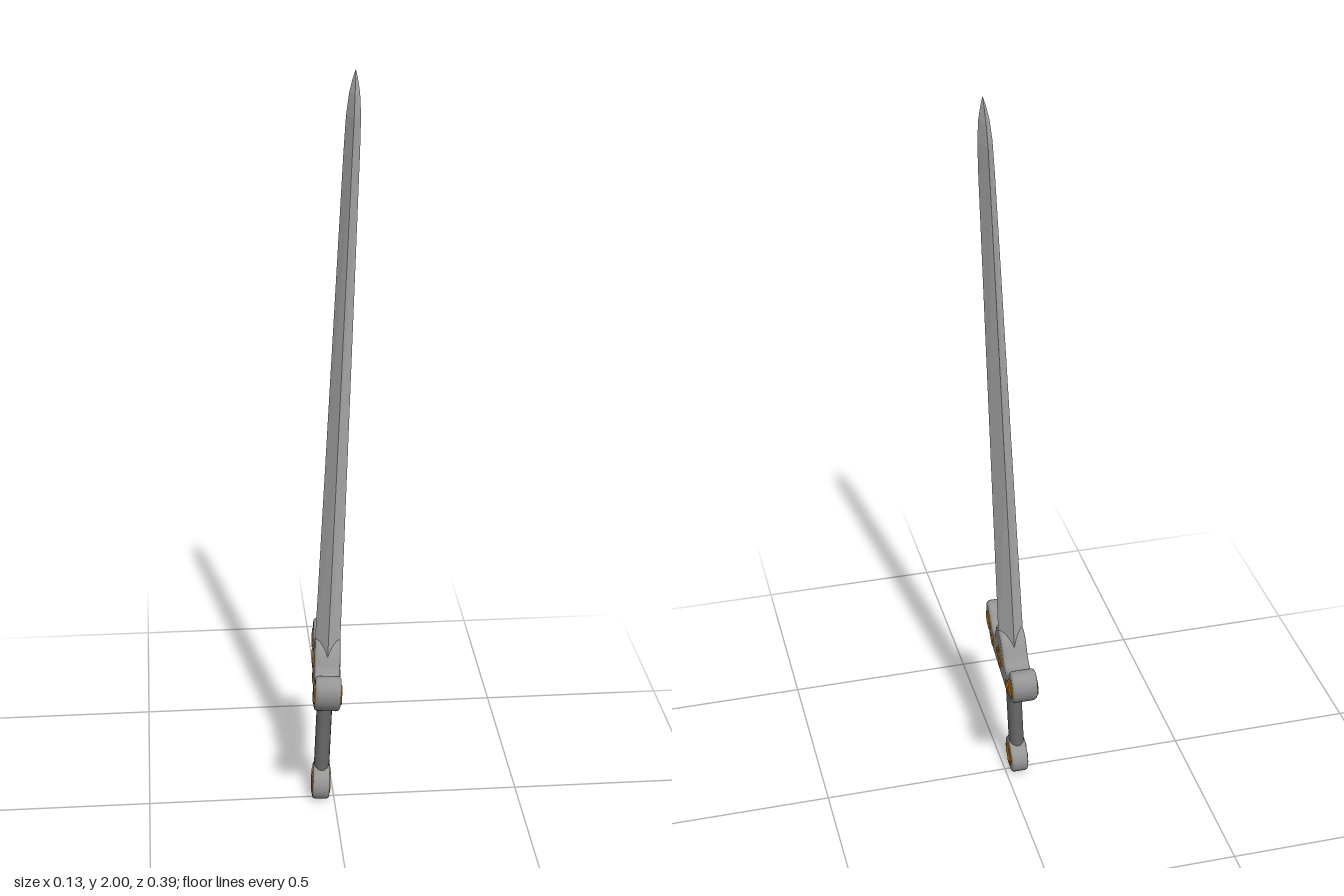
import * as THREE from 'three';
import { toCreasedNormals } from 'three/addons/utils/BufferGeometryUtils.js';

const material = (name, color) => {
  const m = new THREE.MeshStandardMaterial({ color });
  m.name = name;
  return m;
};

// Extrudes a (z, y) outline to a total thickness along x, centred on x = 0
function slab(shape, thickness, bevel) {
  const depth = thickness - 2 * bevel;
  const g = new THREE.ExtrudeGeometry(shape, {
    depth, curveSegments: 14, bevelEnabled: bevel > 0,
    bevelThickness: bevel, bevelSize: bevel, bevelOffset: -bevel, bevelSegments: 3,
  });
  g.translate(0, 0, -depth / 2);
  g.rotateY(-Math.PI / 2);
  return toCreasedNormals(g, 0.7);
}

// Diamond-section blade lofted through [y, half width, half thickness]
function bladeGeometry(sections) {
  const ring = ([y, w, t]) => [[t, y, 0], [0, y, -w], [-t, y, 0], [0, y, w]];
  const pos = [];
  for (let i = 0; i < sections.length - 1; i++) {
    const a = ring(sections[i]), b = ring(sections[i + 1]);
    for (let k = 0; k < 4; k++) {
      const n = (k + 1) % 4;
      pos.push(...a[k], ...a[n], ...b[n], ...a[k], ...b[n], ...b[k]);
    }
  }
  const g = new THREE.BufferGeometry();
  g.setAttribute('position', new THREE.Float32BufferAttribute(pos, 3));
  g.computeVertexNormals();
  return g;
}

// Mirrored crossguard outline with a central hump and upturned lobes
function guardShape() {
  const s = new THREE.Shape();
  s.moveTo(-0.09, 0.336);
  s.lineTo(0.09, 0.336);
  s.bezierCurveTo(0.15, 0.336, 0.196, 0.375, 0.196, 0.418);
  s.bezierCurveTo(0.196, 0.465, 0.152, 0.468, 0.135, 0.44);
  s.bezierCurveTo(0.118, 0.412, 0.085, 0.4, 0.064, 0.425);
  s.bezierCurveTo(0.048, 0.455, 0.04, 0.487, 0, 0.487);
  s.bezierCurveTo(-0.04, 0.487, -0.048, 0.455, -0.064, 0.425);
  s.bezierCurveTo(-0.085, 0.4, -0.118, 0.412, -0.135, 0.44);
  s.bezierCurveTo(-0.152, 0.468, -0.196, 0.465, -0.196, 0.418);
  s.bezierCurveTo(-0.196, 0.375, -0.15, 0.336, -0.09, 0.336);
  return s;
}

const discShape = (r) => new THREE.Shape().absarc(0, 0, r, 0, Math.PI * 2);

// Four flared arms
function crossShape(r, tip, waist) {
  const pts = [];
  for (let k = 0; k < 4; k++) {
    const a = k * Math.PI / 2;
    for (const [u, v] of [[r, -tip], [r, tip], [waist, waist]]) {
      pts.push(new THREE.Vector2(u * Math.cos(a) - v * Math.sin(a), u * Math.sin(a) + v * Math.cos(a)));
    }
  }
  return new THREE.Shape(pts);
}

export function createModel() {
  const steel = material('blade steel', 0xb4b4b4);
  const iron = material('guard iron', 0x969696);
  const leather = material('grip dark grey', 0x686868);
  const gold = material('gold inlay', 0xdc8c14);

  const sword = new THREE.Group();
  sword.name = 'sword';
  const add = (name, geometry, mat, x = 0, y = 0, z = 0) => {
    const mesh = new THREE.Mesh(geometry, mat);
    mesh.name = name;
    mesh.position.set(x, y, z);
    sword.add(mesh);
    return mesh;
  };

  // Blade
  add('blade', bladeGeometry([
    [0.42, 0.05, 0.034], [1.0, 0.048, 0.028], [1.8, 0.043, 0.02],
    [1.89, 0.042, 0.018], [1.945, 0.03, 0.013], [1.98, 0.014, 0.006], [2.0, 0.0005, 0.0005],
  ]), steel);

  // Guard, grip and pommel
  add('guard', slab(guardShape(), 0.068, 0.01), iron);
  const grip = add('grip', new THREE.CylinderGeometry(0.026, 0.026, 0.27, 16), leather, 0, 0.225, 0);
  grip.scale.x = 0.8;
  add('pommel', slab(discShape(0.051), 0.046, 0.008), iron, 0, 0.053, 0);

  // Gold inlays on both faces
  const plate = 0.005;
  const cross = slab(crossShape(0.034, 0.008, 0.009), plate, 0);
  const pommelCross = slab(crossShape(0.031, 0.014, 0.015), plate, 0);
  const bigDisc = slab(discShape(0.026), plate, 0);
  const smallDisc = slab(discShape(0.019), plate, 0);
  for (const side of [-1, 1]) {
    const x = side * 0.034;
    add('guardCross', cross, gold, x, 0.392, 0);
    add('pommelCross', pommelCross, gold, side * 0.023, 0.053, 0);
    for (const end of [-1, 1]) {
      add('guardLobeDisc', bigDisc, gold, x, 0.404, end * 0.158);
      add('guardInnerDisc', smallDisc, gold, x, 0.374, end * 0.108);
    }
  }

  // Slight twist and lean of the whole weapon
  sword.rotation.y = -0.06;
  const model = new THREE.Group();
  model.name = 'leaningSword';
  model.add(sword);
  model.rotation.z = -0.045;
  model.position.set(-0.037, 0, 0);
  const root = new THREE.Group();
  root.add(model);
  return root;
}
